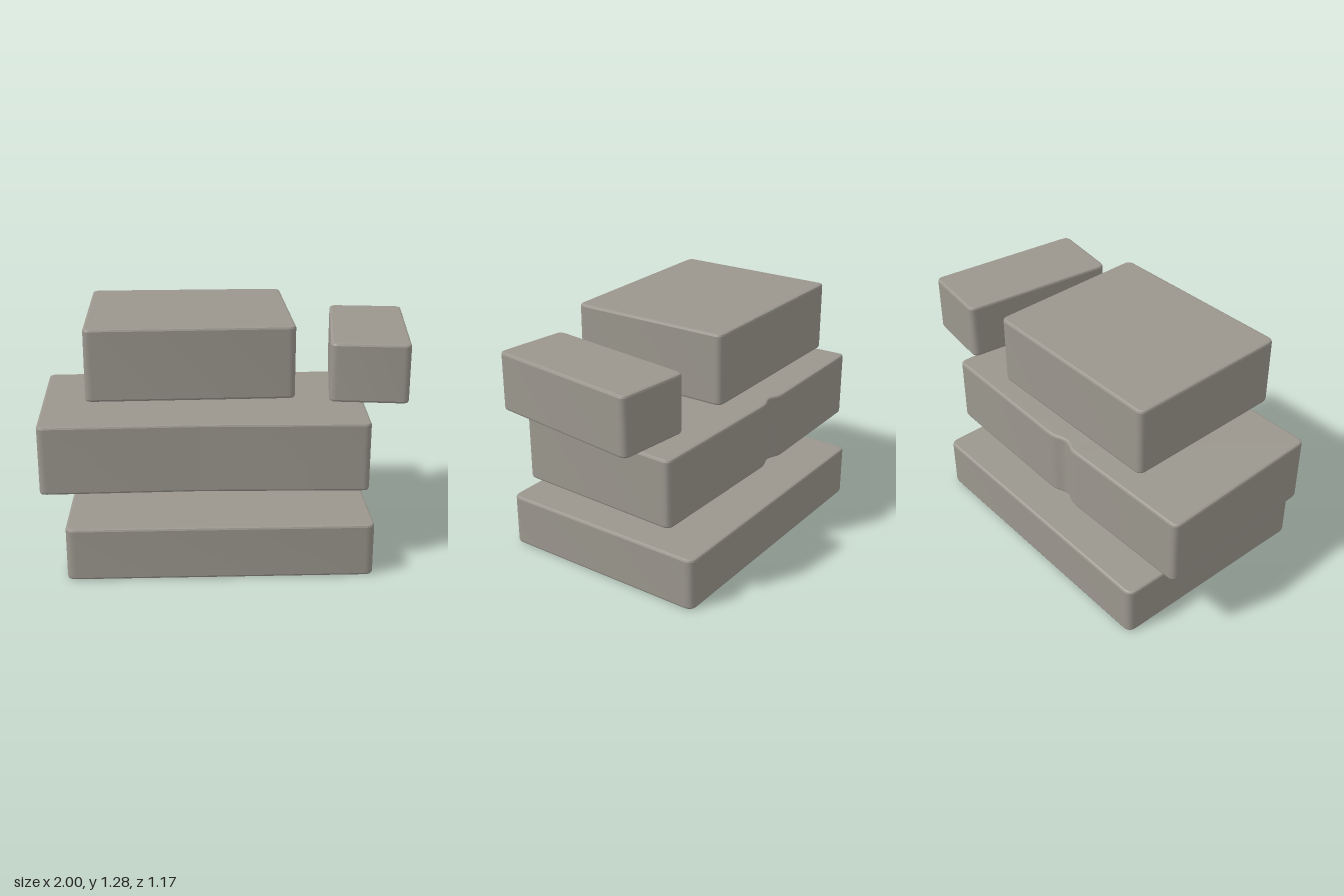
import * as THREE from 'three';
import { toCreasedNormals } from 'three/addons/utils/BufferGeometryUtils.js';

const BEVEL = 0.012;

// Closed plan outline [x, z] with each corner rounded by r
function roundedOutline(corners, r) {
  const pts = corners.map(([x, z]) => new THREE.Vector2(x, -z));
  const n = pts.length;
  const shape = new THREE.Shape();
  pts.forEach((p, i) => {
    const towards = (q) => {
      const d = p.distanceTo(q);
      return p.clone().lerp(q, Math.min(r, d * 0.45) / d);
    };
    const a = towards(pts[(i + n - 1) % n]);
    const b = towards(pts[(i + 1) % n]);
    if (i === 0) shape.moveTo(a.x, a.y);
    else shape.lineTo(a.x, a.y);
    shape.quadraticCurveTo(p.x, p.y, b.x, b.y);
  });
  shape.closePath();
  return shape;
}

// Upright slab between two heights with softened top and bottom rims
function slab(name, corners, r, bottom, top, material) {
  const geometry = new THREE.ExtrudeGeometry(roundedOutline(corners, r), {
    depth: top - bottom - 2 * BEVEL,
    curveSegments: 6,
    bevelEnabled: true,
    bevelThickness: BEVEL,
    bevelSize: BEVEL,
    bevelOffset: -BEVEL,
    bevelSegments: 2,
  });
  geometry.rotateX(-Math.PI / 2);
  geometry.translate(0, bottom + BEVEL, 0);
  const mesh = new THREE.Mesh(toCreasedNormals(geometry, 0.38), material);
  mesh.name = name;
  return mesh;
}

export function createModel() {
  const group = new THREE.Group();
  group.name = 'floatingSlabs';
  // Warm stone grey
  const material = new THREE.MeshStandardMaterial({ color: 0x9b978e });

  group.add(
    // Wide slab at the bottom
    slab('baseSlab', [[-0.833, -0.588], [0.738, -0.588], [0.738, 0.583], [-0.835, 0.585]],
      0.05, 0, 0.28, material),

    // Middle slab, with a shallow groove down its back and a slightly hollow front
    slab('middleSlab', [
      [-1.003, -0.462], [-0.25, -0.477], [-0.2, -0.45], [-0.16, -0.45], [-0.1, -0.477],
      [0.75, -0.462], [0.72, 0.466], [-0.15, 0.446], [-0.968, 0.466],
    ], 0.04, 0.42, 0.785, material),

    // Large upper block
    slab('upperBlock', [[-0.732, -0.445], [0.315, -0.458], [0.332, 0.422], [-0.718, 0.45]],
      0.04, 0.91, 1.28, material),

    // Narrow block turned a little beside it
    slab('sideBlock', [[0.605, -0.45], [1.003, -0.406], [0.903, 0.444], [0.504, 0.394]],
      0.04, 0.88, 1.185, material),
  );
  return group;
}
